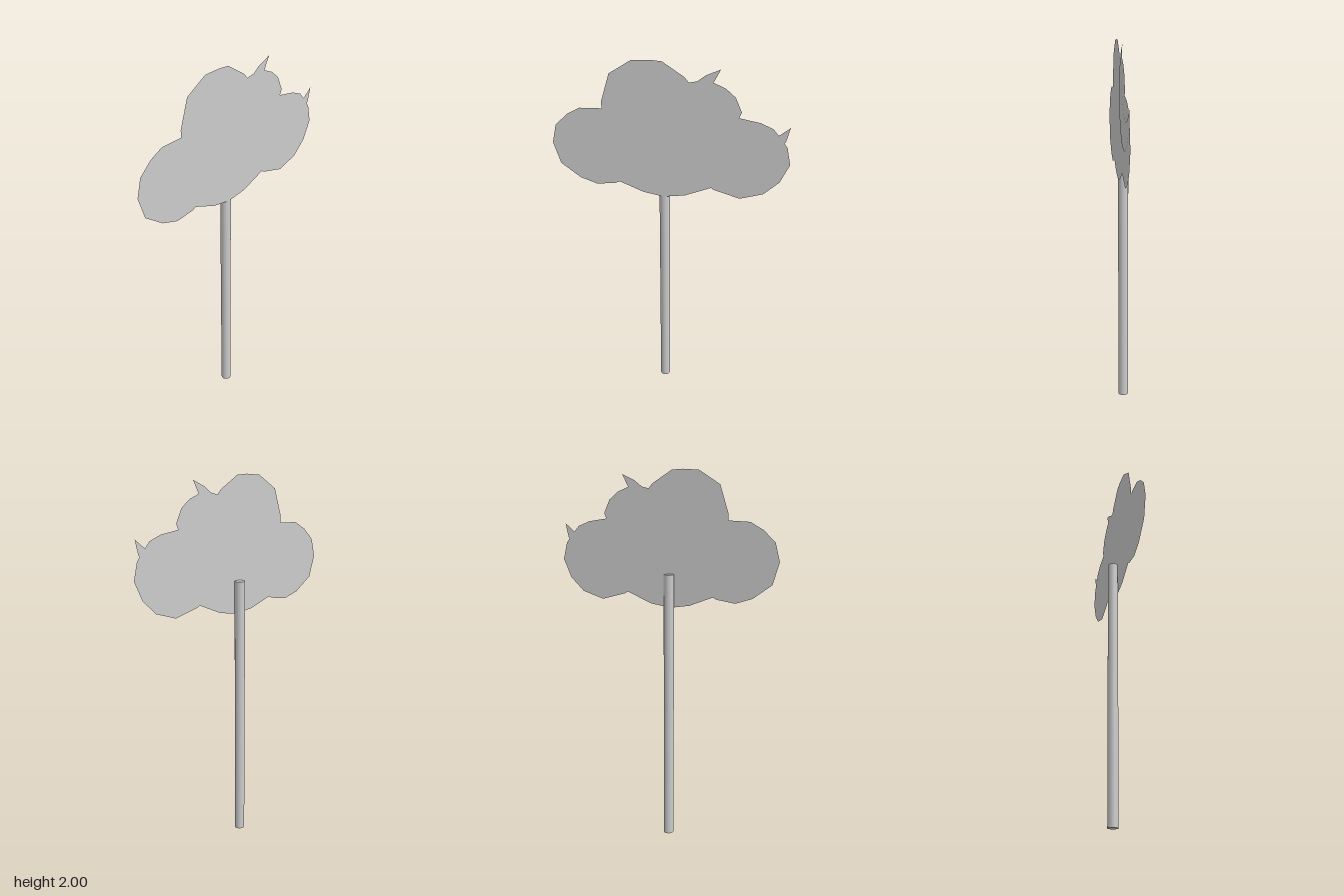
import * as THREE from 'three';

const material = new THREE.MeshStandardMaterial({ color: 0xcccccc, side: THREE.DoubleSide });

// Thin flat cut-out from an outline, placed at depth z
function cutOut(name, outline, z) {
  const shape = new THREE.Shape(outline.map(([x, y]) => new THREE.Vector2(x, y)));
  const mesh = new THREE.Mesh(new THREE.ShapeGeometry(shape), material);
  mesh.name = name;
  mesh.position.z = z;
  return mesh;
}

export function createModel() {
  const group = new THREE.Group();
  group.name = 'cloudAndMoonOnStick';

  // Round stick
  const stick = new THREE.Mesh(new THREE.CylinderGeometry(0.0275, 0.0275, 1.46, 24), material);
  stick.name = 'stick';
  stick.position.set(-0.024, 0.73, -0.001);
  group.add(stick);

  // Cloud panel, clockwise from the top lobe
  group.add(cutOut('cloud', [
    [-0.177, 1.993], [-0.09, 2.0], [-0.03, 1.997], [0.077, 1.93], [0.098, 1.905],
    [0.156, 1.92], [0.21, 1.915], [0.272, 1.89], [0.32, 1.85], [0.352, 1.78], [0.341, 1.75],
    [0.442, 1.735], [0.505, 1.71], [0.548, 1.66], [0.579, 1.62], [0.6, 1.53], [0.558, 1.43],
    [0.484, 1.355], [0.368, 1.315], [0.235, 1.35], [0.22, 1.36],
    [0.087, 1.3], [-0.024, 1.28], [-0.13, 1.295], [-0.257, 1.343],
    [-0.278, 1.332], [-0.378, 1.315], [-0.468, 1.343], [-0.569, 1.417], [-0.603, 1.533],
    [-0.579, 1.63], [-0.516, 1.693], [-0.447, 1.733], [-0.333, 1.74],
    [-0.333, 1.777], [-0.288, 1.92],
  ], 0.0265));

  // Crescent moon just in front: outer arc, then inner arc back to the upper tip
  group.add(cutOut('crescentMoon', [
    [0.246, 1.98], [0.177, 1.947], [0.124, 1.905], [0.082, 1.82], [0.071, 1.725], [0.093, 1.63],
    [0.146, 1.555], [0.22, 1.502], [0.299, 1.488], [0.389, 1.497], [0.474, 1.545],
    [0.537, 1.608], [0.569, 1.65], [0.585, 1.725],
    [0.537, 1.682], [0.474, 1.65], [0.405, 1.635], [0.325, 1.655], [0.257, 1.71],
    [0.214, 1.772], [0.204, 1.847], [0.214, 1.915],
  ], 0.0285));

  return group;
}
